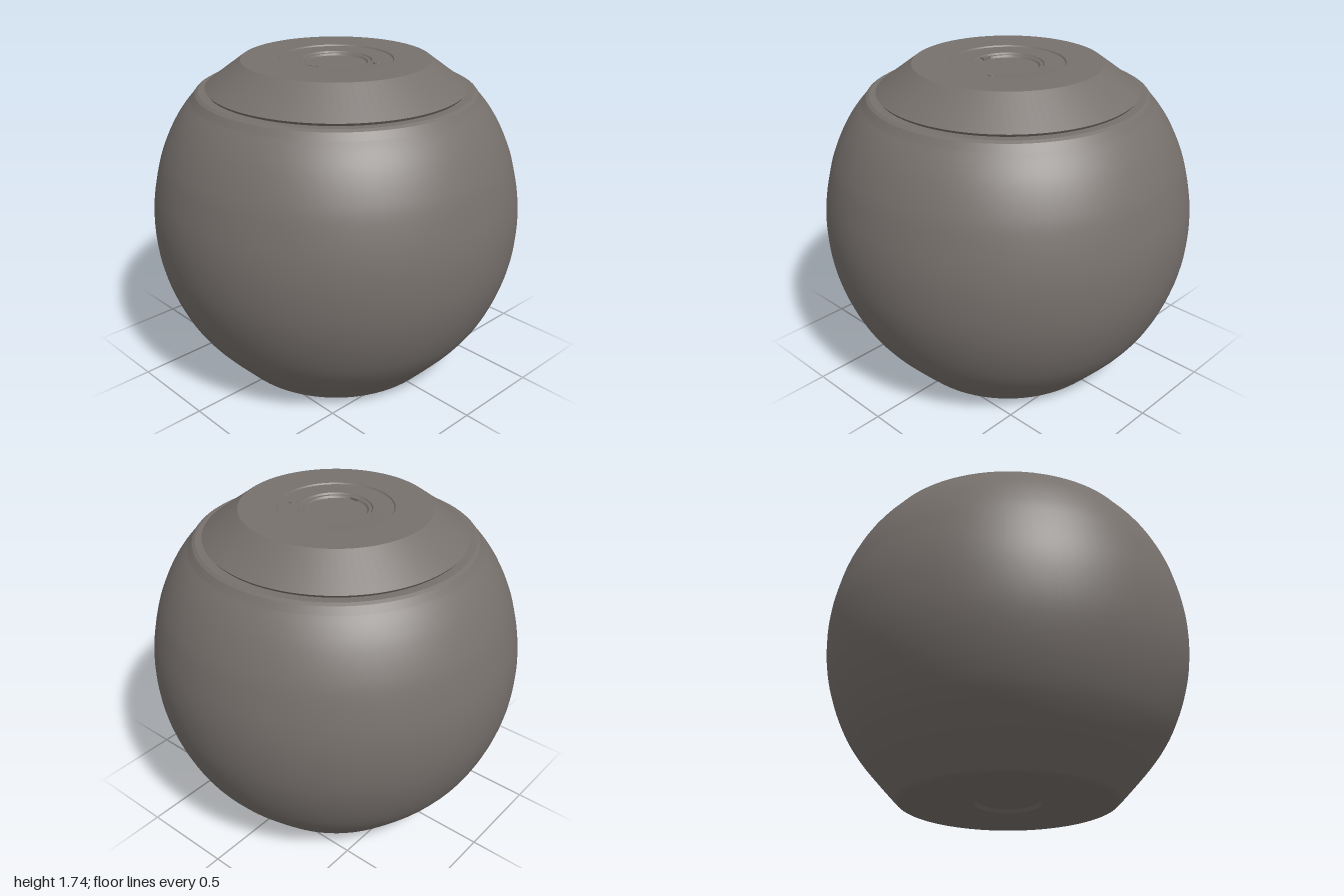
import * as THREE from 'three';

const SEGMENTS = 96;

export function createModel() {
  const model = new THREE.Group();
  model.name = 'lidded round jar';
  const stone = new THREE.MeshStandardMaterial({ color: 0x77716d });
  stone.name = 'warm grey';

  // Smooth surface of revolution; profile runs so that its outside faces out
  const turn = (name, points, smooth = false) => {
    let profile = points.map(([r, y]) => new THREE.Vector2(r, y));
    if (smooth) profile = new THREE.SplineCurve(profile).getPoints(48);
    const mesh = new THREE.Mesh(new THREE.LatheGeometry(profile, SEGMENTS), stone);
    mesh.name = name;
    model.add(mesh);
  };

  // Crisp profile: each segment is its own surface, so edges stay sharp
  const turnCrisp = (name, points) => {
    for (let i = 0; i < points.length - 1; i++) turn(name, [points[i], points[i + 1]]);
  };

  // Underside with a shallow round recess
  turnCrisp('base', [[0, 0.025], [0.16, 0.02], [0.175, 0.003], [0.25, 0], [0.56, 0]]);

  // Rounded foot and bulging wall
  turn('foot', [[0.56, 0], [0.578, 0.006], [0.592, 0.018], [0.61, 0.037]], true);
  turn('body', [
    [0.61, 0.037], [0.7, 0.135], [0.79, 0.24], [0.87, 0.36], [0.94, 0.52],
    [0.985, 0.69], [1, 0.87], [0.988, 1.03], [0.95, 1.2], [0.91, 1.31],
    [0.86, 1.41], [0.81, 1.485], [0.768, 1.535],
  ], true);

  // Stepped shoulder under the lid
  turnCrisp('shoulder', [[0.768, 1.535], [0.742, 1.57], [0.725, 1.58], [0.67, 1.58]]);

  // Sloping lid with stepped recesses in its top
  turnCrisp('lid', [
    [0.68, 1.58], [0.69, 1.594], [0.5, 1.735], [0.303, 1.733], [0.298, 1.726],
    [0.19, 1.724], [0.183, 1.716], [0.168, 1.716], [0.16, 1.706], [0, 1.706],
  ]);

  // Small stud and side notch beside the central recess
  const stud = new THREE.Mesh(new THREE.CylinderGeometry(0.022, 0.024, 0.008, 24), stone);
  stud.name = 'stud';
  stud.position.set(0.095, 1.727, 0.21);
  const key = new THREE.Mesh(new THREE.BoxGeometry(0.03, 0.012, 0.05), stone);
  key.name = 'recess key';
  key.position.set(-0.165, 1.716, 0);
  model.add(stud, key);

  return model;
}
